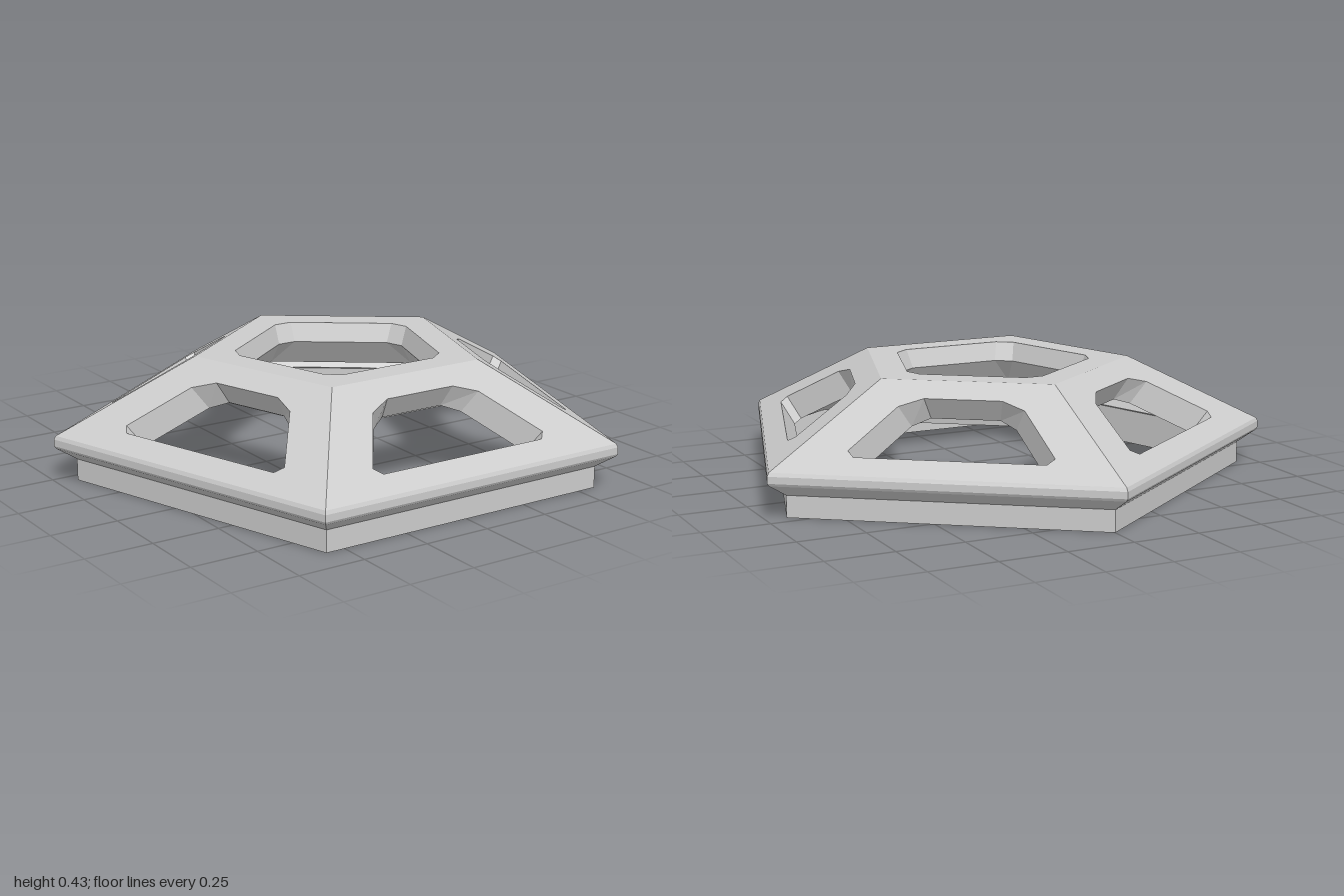
import * as THREE from 'three';

const material = new THREE.MeshStandardMaterial({ color: 0xcccccc, flatShading: true });
const TURN = Math.PI * 2 / 5, TAN = Math.tan(Math.PI / 5);
const UP = new THREE.Vector3(0, 1, 0);
const SLOPE = 0.6208;          // rise over run of the sloping sides
const THICK = 0.096;           // thickness of the sloping walls
const NR = 0.527, NY = 0.85;   // wall normal: outward and upward parts
const TOP = [0.431, 0.43], EAVE = [0.845, 0.173];     // outer slope, [inradius, y]
const CEIL = [0.385, 0.346], FOOT = [0.73, 0.132];    // inner slope, [inradius, y]
const STRUT = 0.148;           // trim of the inner slope beside each flat strut
const outerY = (r) => TOP[1] - (r - TOP[0]) * SLOPE;
const v = (x, y, z) => new THREE.Vector3(x, y, z);

// Pentagon with a flat side to the front; cut > 0 trims each corner
function pentagon([r, y], cut = 0) {
  const half = r * TAN - cut, loop = [];
  for (let k = 0; k < 5; k++) {
    if (cut) loop.push(v(-half, y, r).applyAxisAngle(UP, k * TURN));
    loop.push(v(half, y, r).applyAxisAngle(UP, k * TURN));
  }
  return loop;
}

// Band of faces between two matching loops
function loft(out, a, b) {
  a.forEach((p, i) => {
    const j = (i + 1) % a.length;
    out.push(p, a[j], b[j], p, b[j], b[i]);
  });
}

// Face with one hole, facing up or down
function sheet(out, outline, hole, up) {
  const flat = (loop) => loop.map((p) => new THREE.Vector2(p.x, p.z));
  const points = [...outline, ...hole];
  for (const f of THREE.ShapeUtils.triangulateShape(flat(outline), [flat(hole)])) {
    const [a, b, c] = f.map((i) => points[i]);
    const facesUp = b.clone().sub(a).cross(c.clone().sub(a)).y > 0;
    out.push(a, ...(facesUp === up ? [b, c] : [c, b]));
  }
}

function makeMesh(name, points) {
  const geometry = new THREE.BufferGeometry().setFromPoints(points);
  geometry.computeVertexNormals();
  const mesh = new THREE.Mesh(geometry, material);
  mesh.name = name;
  return mesh;
}

// Sloping side with a window; the window narrows inward so the struts keep their width
function sidePanel() {
  const out = [];
  const right = [[0.335, 0.769], [0.36, 0.743], [0.225, 0.55], [0.14, 0.512]];
  const left = right.map(([x, r]) => [-x, r]).reverse();
  const front = [...right, ...left].map(([x, r]) => v(x, outerY(r), r));
  const narrow = THICK * NR * TAN;
  const back = front.map((p) => v(
    p.x - Math.sign(p.x) * narrow * (Math.abs(p.x) > 0.2 ? 1 : 0.4),
    p.y - THICK * NY, p.z - THICK * NR));
  const trapezoid = ([r0, y0], [r1, y1], cut) => {
    const h0 = r0 * TAN - cut, h1 = r1 * TAN - cut;
    return [v(-h1, y1, r1), v(h1, y1, r1), v(h0, y0, r0), v(-h0, y0, r0)];
  };
  sheet(out, trapezoid(TOP, EAVE, 0), front, true);
  sheet(out, trapezoid(CEIL, FOOT, STRUT), back, false);
  loft(out, front, back);
  return makeMesh('sidePanel', out);
}

// Flat underside of the strut between two side panels
function strutUnderside() {
  const edge = ([r, y], side) => v(side * (r * TAN - STRUT), y, r);
  const a = edge(CEIL, 1), b = edge(FOOT, 1);
  const c = edge(FOOT, -1).applyAxisAngle(UP, TURN);
  const d = edge(CEIL, -1).applyAxisAngle(UP, TURN);
  const corner = v(FOOT[0] * TAN, FOOT[1], FOOT[0]);
  return makeMesh('strutUnderside', [a, d, c, a, c, b, b, c, corner]);
}

// Base wall and the bevelled lip above it
function baseRim() {
  const out = [];
  const profile = [FOOT, [FOOT[0], 0], [0.786, 0], [0.786, 0.08], [0.845, 0.125],
    [0.851, 0.135], [0.851, 0.16], EAVE].map((p) => pentagon(p));
  for (let i = 0; i < profile.length - 1; i++) loft(out, profile[i], profile[i + 1]);
  return makeMesh('baseRim', out);
}

// Flat top with a corner-trimmed opening that flares out below into a hanging ring
function topRing() {
  const out = [];
  const upper = pentagon([0.325, TOP[1]], 0.043);
  const lower = pentagon([0.302, 0.36], 0.043);
  const bottom = pentagon([0.372, 0.26]);
  sheet(out, pentagon(TOP), upper, true);
  loft(out, upper, lower);
  sheet(out, bottom, lower, false);
  loft(out, bottom, pentagon(CEIL));
  return makeMesh('topRing', out);
}

export function createModel() {
  const model = new THREE.Group();
  model.name = 'pentagonalFrame';
  const body = new THREE.Group();
  body.name = 'body';
  body.position.z = 0.1;
  body.add(baseRim(), topRing());
  for (const part of [sidePanel(), strutUnderside()]) {
    for (let k = 0; k < 5; k++) {
      const copy = part.clone();
      copy.rotation.y = k * TURN;
      body.add(copy);
    }
  }
  model.add(body);
  return model;
}
